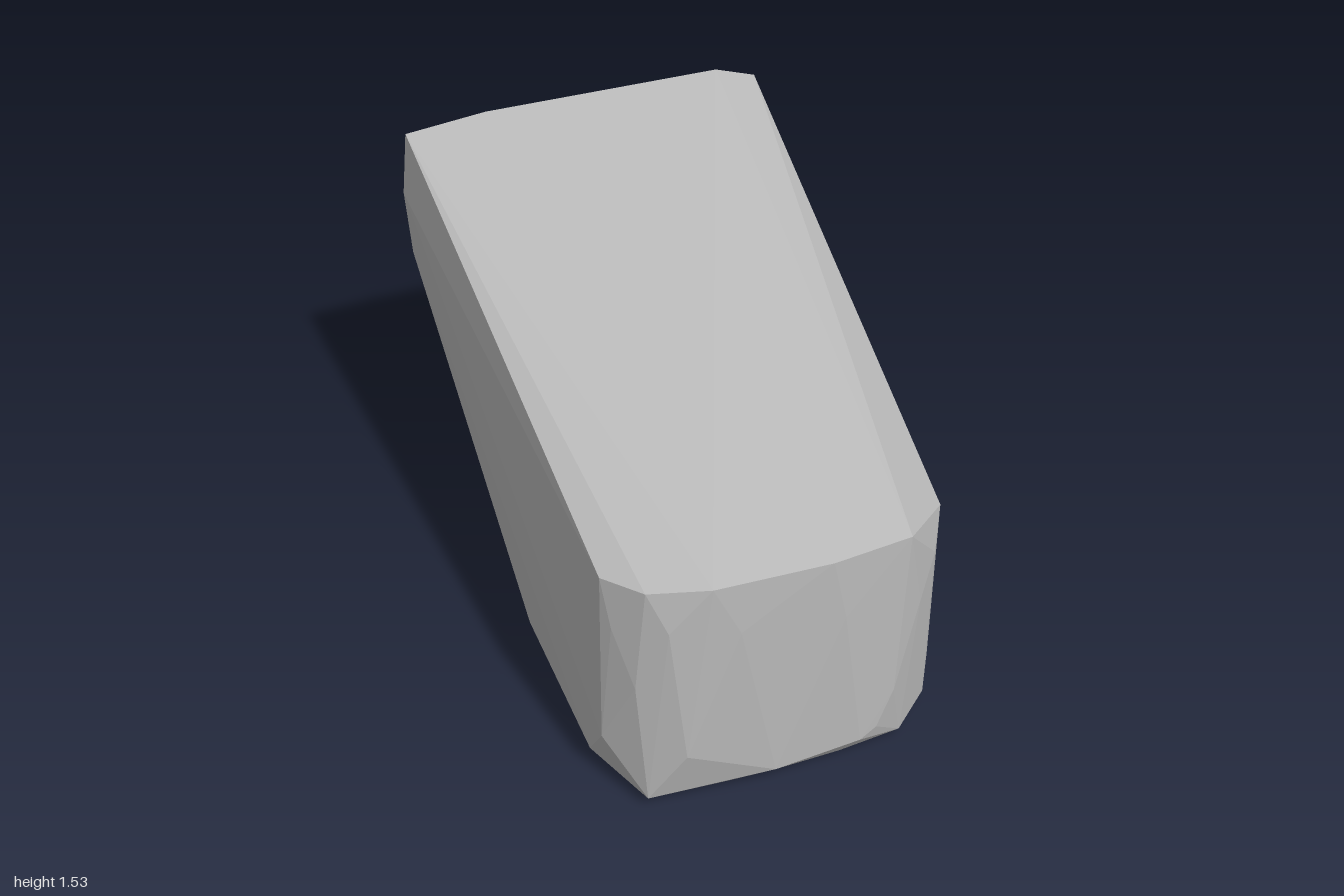
import * as THREE from 'three';
import { ConvexGeometry } from 'three/addons/geometries/ConvexGeometry.js';

export function createModel() {
  const group = new THREE.Group();
  group.name = 'model';
  const grey = new THREE.MeshStandardMaterial({ color: 0xb8b8b8 });
  grey.name = 'stone grey';

  // Flat raised end, cut square at the back
  const backEnd = [
    [0.65, 1.48], [0.5, 1.53], [-0.36, 1.53], [-0.65, 1.5], [-0.675, 1.27],
    [-0.66, 1.02], [-0.36, 0.985], [0.62, 0.99], [0.672, 1.13],
  ].map(([x, y]) => [x, y, -1]);

  // Rim where the sloping top meets the nose
  const topRim = [
    [-0.58, 0.92, 0.79], [-0.48, 0.93, 0.92], [-0.29, 0.943, 0.99],
    [0.1, 0.937, 1], [0.38, 0.925, 0.96], [0.58, 0.84, 0.76],
  ];

  // Rounded, faceted nose
  const nose = [
    [-0.56, 0.74, 0.83], [-0.42, 0.78, 0.96], [-0.51, 0.53, 0.9],
    [-0.585, 0.24, 0.78], [-0.37, 0.26, 0.985], [-0.07, 0.11, 1],
    [0.23, 0.13, 0.995], [0.29, 0.16, 0.985], [0.35, 0.3, 0.975],
    [0.45, 0.61, 0.92], [0.52, 0.74, 0.86], [0.575, 0.2, 0.77],
    [-0.2, 0.75, 1], [0.15, 0.7, 1],
  ];

  // Bevelled edge around the underside
  const lowerEdge = [
    [-0.585, 0.06, 0.0], [-0.585, 0.06, 0.65], [-0.48, 0.05, 0.92],
    [0.41, 0.045, 0.92], [0.56, 0.05, 0.79], [0.575, 0.035, 0.58],
    [0.57, 0.025, -0.1],
  ];

  // Sole
  const sole = [
    [-0.47, 0.01, -0.12], [-0.47, 0.01, 0.78], [-0.2, 0.005, 0.9],
    [0.2, 0.01, 0.91], [0.44, 0.005, 0.6], [0.3, 0.005, -0.12],
    [0, 0, 0.4],
  ];

  const points = [...backEnd, ...topRim, ...nose, ...lowerEdge, ...sole]
    .map((p) => new THREE.Vector3(...p));
  const block = new THREE.Mesh(new ConvexGeometry(points), grey);
  block.name = 'facetedBlock';
  group.add(block);
  return group;
}
